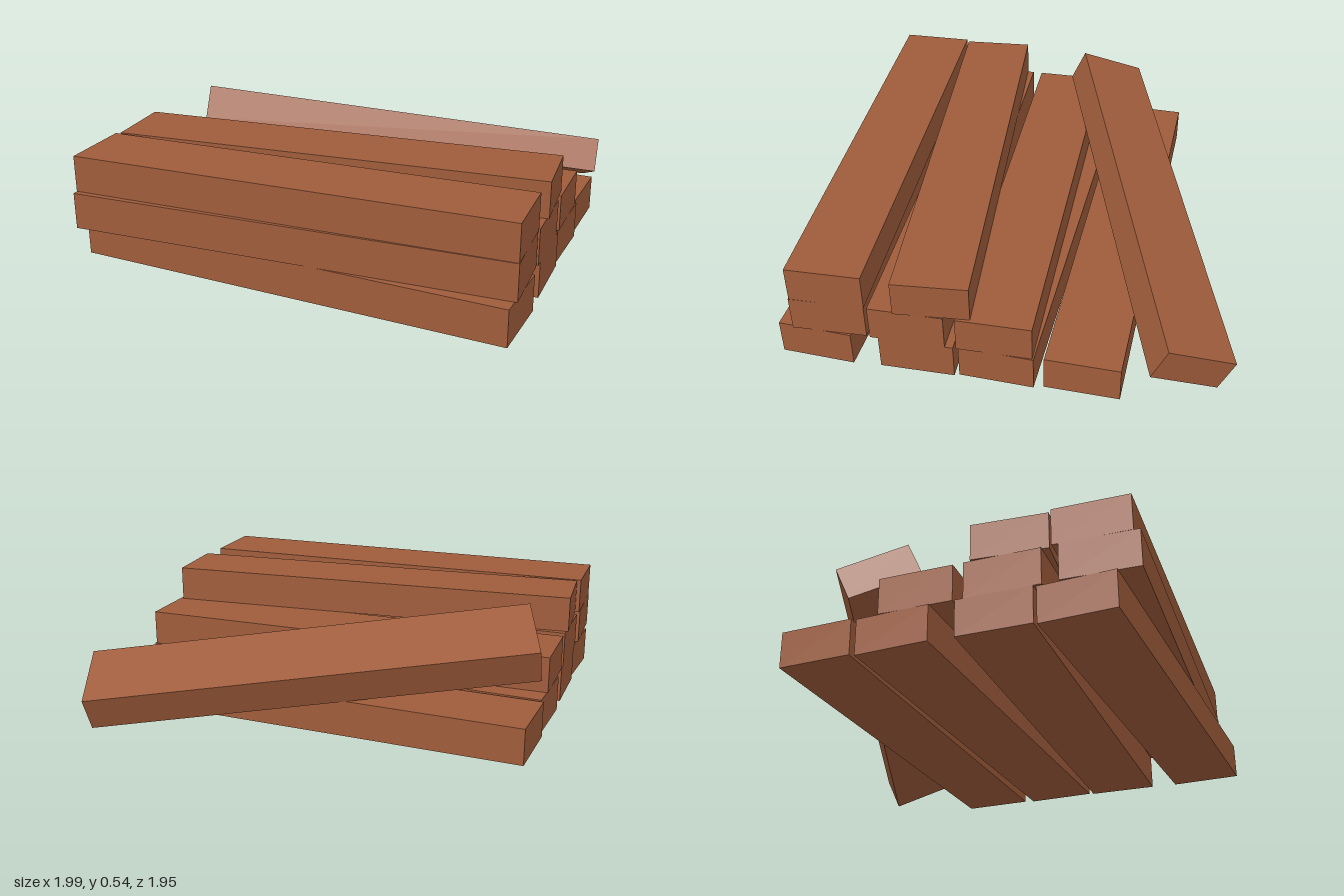
import * as THREE from 'three';

const LENGTH = 1.975, HEIGHT = 0.1635, WIDTH = 0.326;

export function createModel() {
  const model = new THREE.Group();
  model.name = 'plankStack';

  const wood = new THREE.MeshStandardMaterial({ color: 0x9f5c3b });
  wood.name = 'brown wood';
  const beam = new THREE.BoxGeometry(LENGTH, HEIGHT, WIDTH);

  const addPlank = (name) => {
    const plank = new THREE.Mesh(beam, wood);
    plank.name = name;
    model.add(plank);
    return plank;
  };

  // Stacked layers, bottom to top: [centre z, slope dz/dx] of each plank, front to back
  const layers = [
    ['bottomPlank', [[0.757, 0.056], [0.366, 0], [-0.025, 0.046], [-0.38, 0.033]]],
    ['middlePlank', [[0.77, -0.028], [0.401, 0], [0.028, -0.002]]],
    ['topPlank', [[0.755, -0.016], [0.36, -0.0735]]],
  ];
  layers.forEach(([name, planks], level) => {
    planks.forEach(([z, slope], i) => {
      const plank = addPlank(name + (i + 1));
      plank.position.set(0, HEIGHT * (level + 0.5), z);
      plank.rotation.y = -Math.atan(slope);
    });
  });

  // Loose plank leaning against the back of the stack, oriented by its own axes
  const along = new THREE.Vector3(1.85, -0.245, -0.63).normalize();
  const across = new THREE.Vector3(0.115, 0.13, 0.285);
  const up = new THREE.Vector3().crossVectors(across, along).normalize();
  across.crossVectors(along, up);
  const leaning = addPlank('leaningPlank');
  leaning.quaternion.setFromRotationMatrix(new THREE.Matrix4().makeBasis(along, up, across));
  leaning.position.set(-0.001, 0.283, -0.484);

  return model;
}
